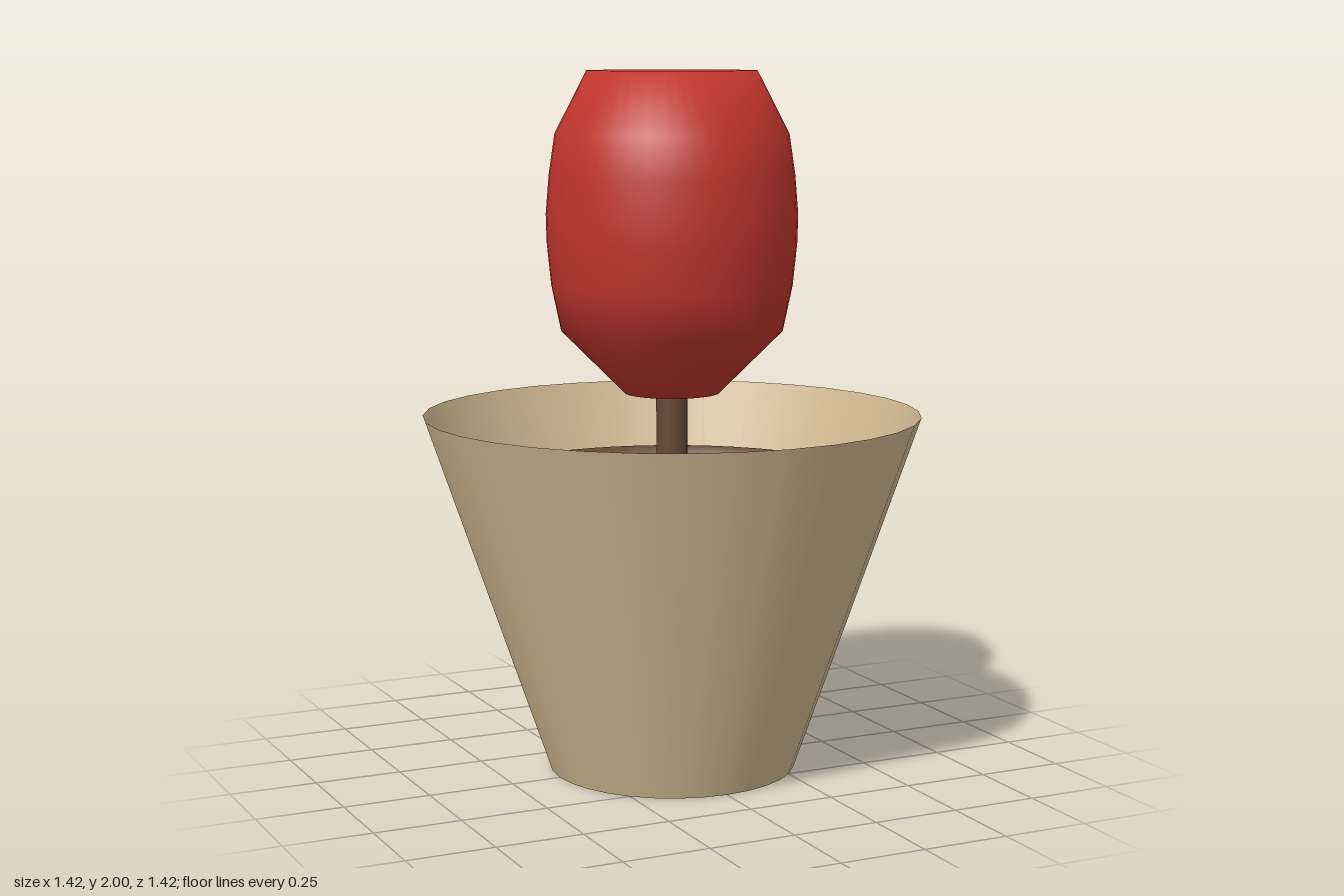
import * as THREE from 'three';

const TAN = 0xd2ba92, BROWN = 0x664733, RED = 0xc0352d;

function part(name, geometry, color, side = THREE.FrontSide) {
  const mesh = new THREE.Mesh(geometry, new THREE.MeshStandardMaterial({ color, side }));
  mesh.name = name;
  return mesh;
}

export function createModel() {
  const model = new THREE.Group();
  model.name = 'lamp';

  // Open conical shade, wide rim up
  const shadeHeight = 1.03;
  const shade = part('shade',
    new THREE.CylinderGeometry(0.71, 0.355, shadeHeight, 32, 1, true), TAN, THREE.DoubleSide);
  shade.position.y = shadeHeight / 2;
  model.add(shade);

  // Support frame: ring, four spokes and a central stem
  const frame = new THREE.Group();
  frame.name = 'frame';
  const frameY = 0.8, ringRadius = 0.572;
  const ring = part('ring', new THREE.TorusGeometry(ringRadius, 0.045, 8, 48), BROWN);
  ring.rotation.x = Math.PI / 2;
  ring.position.y = frameY;
  frame.add(ring);

  const spokeGeometry = new THREE.CylinderGeometry(0.022, 0.022, ringRadius, 12);
  spokeGeometry.rotateZ(Math.PI / 2).translate(ringRadius / 2, 0, 0);
  for (let i = 0; i < 4; i++) {
    const spoke = part('spoke', spokeGeometry, BROWN);
    spoke.rotation.y = i * Math.PI / 2;
    spoke.position.y = frameY;
    frame.add(spoke);
  }

  const stemBottom = 0.775, stemTop = 1.12;
  const stem = part('stem',
    new THREE.CylinderGeometry(0.045, 0.045, stemTop - stemBottom, 16), BROWN);
  stem.position.y = (stemBottom + stemTop) / 2;
  frame.add(stem);
  model.add(frame);

  // Rounded bulb with flat ends, smooth all over
  const profile = [
    [0, 1.09], [0.135, 1.09], [0.315, 1.27], [0.342, 1.4], [0.354, 1.52],
    [0.356, 1.6], [0.347, 1.71], [0.33, 1.825], [0.24, 2], [0, 2],
  ].map(([r, y]) => new THREE.Vector2(r, y));
  model.add(part('bulb', new THREE.LatheGeometry(profile, 48), RED));

  return model;
}
